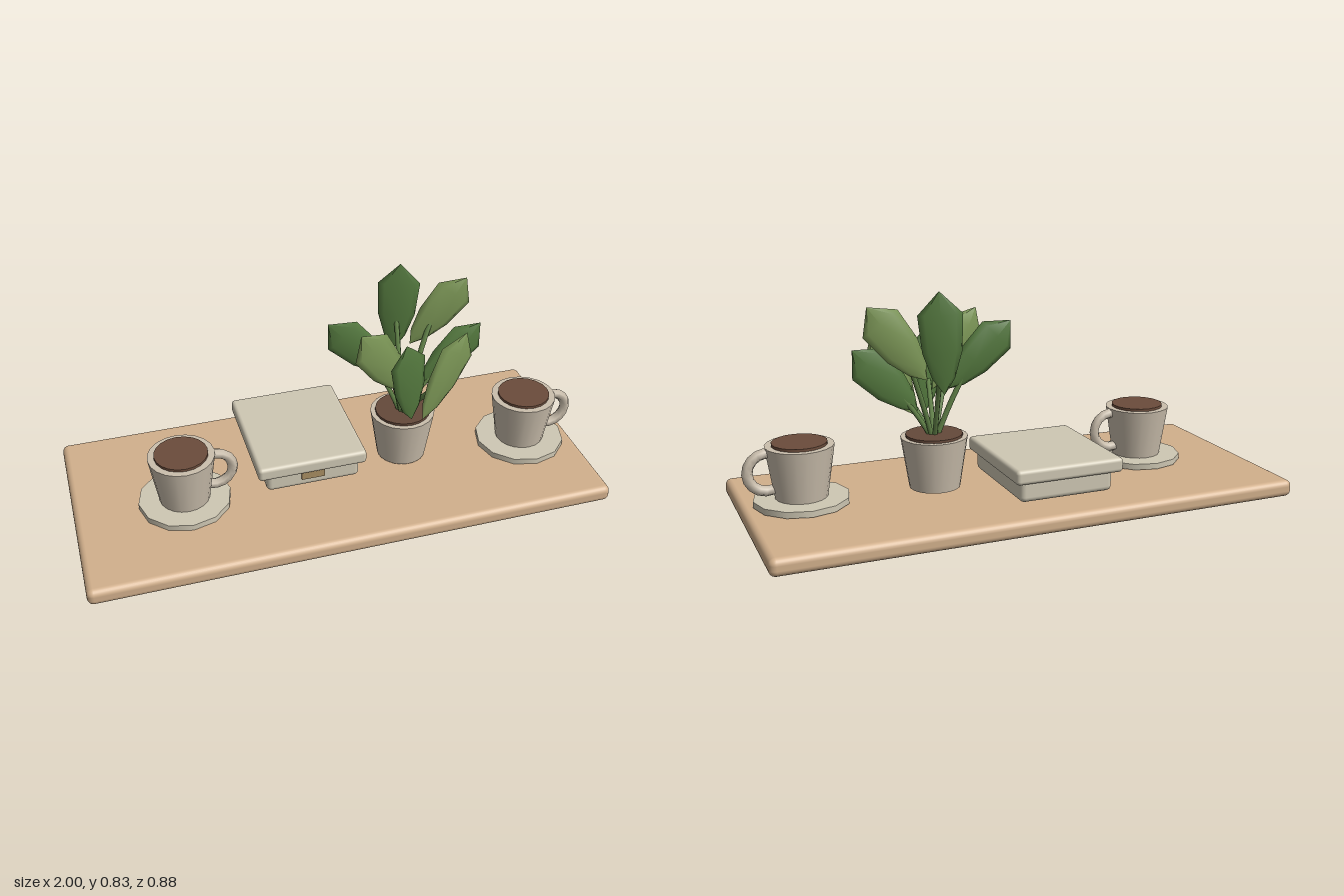
import * as THREE from 'three';
import { RoundedBoxGeometry } from 'three/addons/geometries/RoundedBoxGeometry.js';

const V = (x, y, z) => new THREE.Vector3(x, y, z);
const mat = (color) => new THREE.MeshStandardMaterial({ color });
const wood = mat(0xd2b08c), clay = mat(0xcbbfad), cream = mat(0xcfc8b4);
const coffeeMat = mat(0x6b4c3b), soilMat = mat(0x65493a), brass = mat(0xa88d62);
const darkLeaf = mat(0x557a3f), lightLeaf = mat(0x7d9857), stemMat = mat(0x64854a);

function add(parent, name, geometry, material, x = 0, y = 0, z = 0) {
  const mesh = new THREE.Mesh(geometry, material);
  mesh.name = name;
  mesh.position.set(x, y, z);
  parent.add(mesh);
  return mesh;
}

function subGroup(parent, name, x = 0, y = 0, z = 0) {
  const g = new THREE.Group();
  g.name = name;
  g.position.set(x, y, z);
  parent.add(g);
  return g;
}

// Upright solid standing between two heights
function drum(parent, name, rTop, rBottom, y0, y1, sides, material) {
  return add(parent, name, new THREE.CylinderGeometry(rTop, rBottom, y1 - y0, sides), material, 0, (y0 + y1) / 2, 0);
}

// Rounded box given by its limits
function slab(parent, name, [x0, x1], [y0, y1], [z0, z1], radius, material) {
  const geo = new RoundedBoxGeometry(x1 - x0, y1 - y0, z1 - z0, 3, radius);
  return add(parent, name, geo, material, (x0 + x1) / 2, (y0 + y1) / 2, (z0 + z1) / 2);
}

function addCup(parent, name, x, z) {
  const cup = subGroup(parent, name, x, 0, z);
  drum(cup, 'saucer', 0.175, 0.175, 0.068, 0.091, 12, cream);
  drum(cup, 'cupBody', 0.125, 0.095, 0.09, 0.285, 20, clay);
  drum(cup, 'coffee', 0.1, 0.1, 0.27, 0.295, 20, coffeeMat);
  const arc = 1.2 * Math.PI;
  const handle = add(cup, 'cupHandle', new THREE.TorusGeometry(0.07, 0.02, 6, 10, arc), clay, 0.12, 0.195, 0);
  handle.rotation.z = -arc / 2;
}

// Flattened spindle leaf from base to tip, facing along its normal, on a curved stem
function addLeaf(parent, base, tip, facing, halfWidth, material) {
  const leaf = subGroup(parent, 'leafWithStem');
  const axis = tip.clone().sub(base);
  const length = axis.length();
  axis.normalize();
  const profile = [[0, 0], [0.16, 0.5], [0.42, 0.88], [0.78, 1], [1, 0]]
    .map(([t, w]) => new THREE.Vector2(w * halfWidth, t * length));
  const blade = add(leaf, 'leafBlade', new THREE.LatheGeometry(profile, 8).scale(1, 1, 0.23), material);
  const side = axis.clone().cross(facing).normalize();
  const normal = side.clone().cross(axis);
  blade.quaternion.setFromRotationMatrix(new THREE.Matrix4().makeBasis(side, axis, normal));
  blade.position.copy(base);

  const end = base.clone().lerp(tip, 0.38);
  const root = V(end.x * 0.08, 0.27, end.z * 0.08);
  const bend = root.clone().lerp(end, 0.5).add(V(-end.x * 0.06, 0.015, -end.z * 0.06));
  const path = new THREE.QuadraticBezierCurve3(root, bend, end);
  add(leaf, 'stem', new THREE.TubeGeometry(path, 6, 0.01, 6), stemMat);
}

export function createModel() {
  const model = new THREE.Group();
  model.name = 'traySet';

  // Board
  slab(model, 'board', [-1, 1], [0, 0.065], [-0.44, 0.44], 0.024, wood);

  // Two cups on saucers
  addCup(model, 'rightCup', -0.585, 0.05);
  addCup(model, 'leftCup', 0.785, 0.05);

  // Lidded box with clasp
  const box = subGroup(model, 'liddedBox');
  slab(box, 'boxBase', [-0.28, 0.085], [0.085, 0.17], [-0.325, 0.115], 0.02, cream);
  slab(box, 'boxLid', [-0.315, 0.108], [0.158, 0.213], [-0.345, 0.138], 0.015, cream);
  add(box, 'clasp', new THREE.BoxGeometry(0.09, 0.042, 0.02), brass, -0.102, 0.145, 0.115);

  // Potted plant
  const plant = subGroup(model, 'pottedPlant', 0.295, 0, 0);
  drum(plant, 'pot', 0.125, 0.095, 0.08, 0.274, 20, clay);
  drum(plant, 'soil', 0.106, 0.106, 0.26, 0.284, 20, soilMat);

  // Leaves: base, tip, sideways lean of the face, half width, colour
  const leaves = [
    [[0.01, 0.465, -0.152], [0.025, 0.835, -0.15], -0.28, 0.08, darkLeaf],
    [[0.055, 0.51, -0.098], [0.262, 0.782, -0.07], -0.13, 0.078, lightLeaf],
    [[-0.045, 0.448, -0.012], [-0.292, 0.692, -0.035], -0.1, 0.076, darkLeaf],
    [[0.06, 0.375, 0], [0.3, 0.62, 0], 0, 0.076, darkLeaf],
    [[-0.015, 0.33, 0.14], [-0.055, 0.675, 0.16], 0.28, 0.075, darkLeaf],
    [[-0.025, 0.43, 0.08], [-0.215, 0.72, 0.122], 0.22, 0.078, lightLeaf],
    [[0.03, 0.32, 0.14], [0.2, 0.655, 0.105], 0.22, 0.076, lightLeaf],
  ];
  for (const [base, tip, lean, halfWidth, material] of leaves) {
    addLeaf(plant, V(...base), V(...tip), V(lean, 0, 1), halfWidth, material);
  }
  return model;
}
